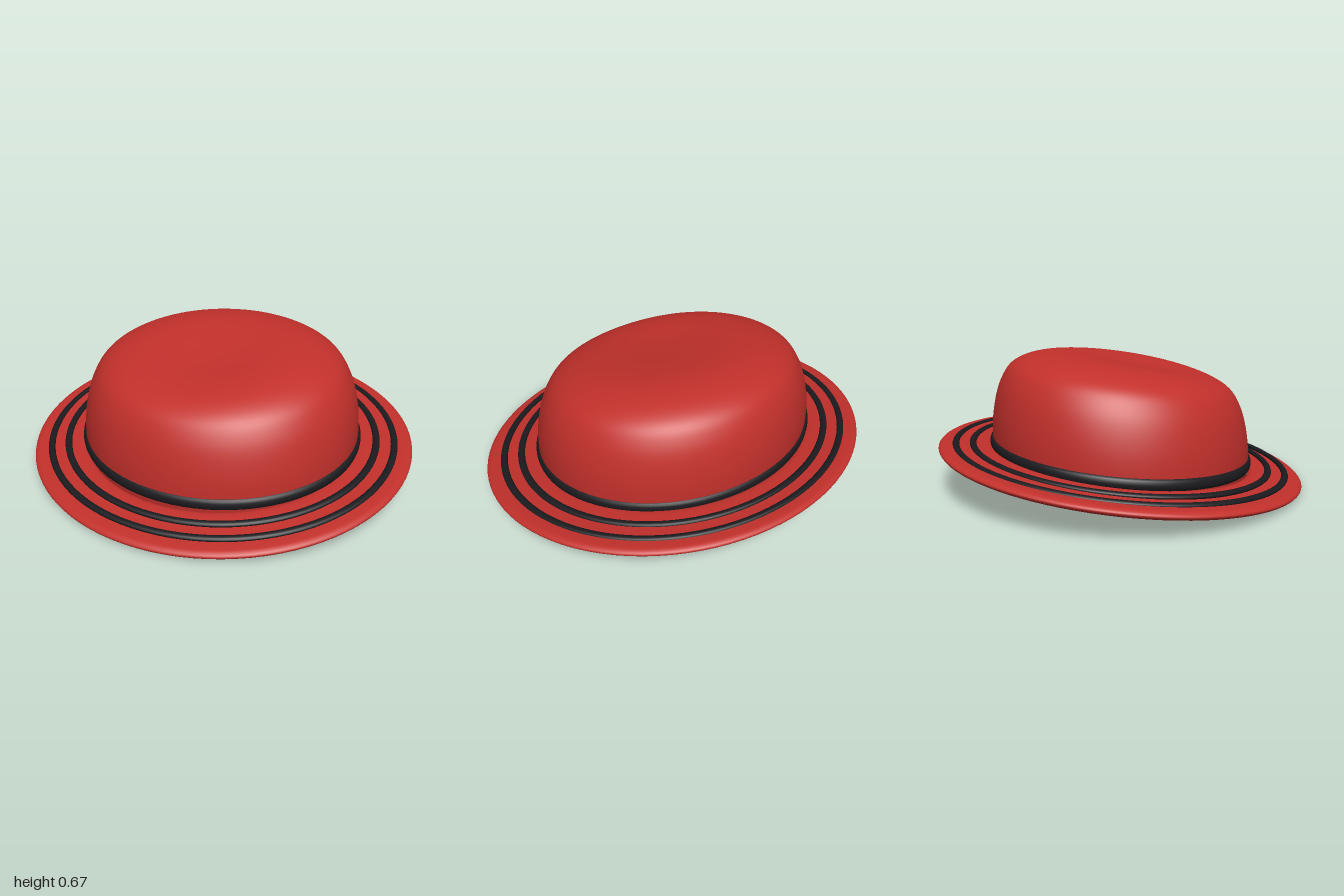
import * as THREE from 'three';
import { mergeVertices } from 'three/addons/utils/BufferGeometryUtils.js';

const red = new THREE.MeshStandardMaterial({ color: 0xc2302b, side: THREE.DoubleSide });
const black = new THREE.MeshStandardMaterial({ color: 0x1b1b1f, side: THREE.DoubleSide });

// Lathe a profile of [radius, height], squash it to an oval in z, then raise each point by lift(x, z)
function ovalLathe(name, points, squash, lift, material) {
  let geometry = new THREE.LatheGeometry(points.map(([r, y]) => new THREE.Vector2(r, y)), 96);
  geometry.deleteAttribute('uv');
  geometry.deleteAttribute('normal');
  geometry = mergeVertices(geometry, 1e-5);
  const pos = geometry.attributes.position;
  for (let i = 0; i < pos.count; i++) {
    const x = pos.getX(i);
    const z = pos.getZ(i) * squash;
    pos.setXYZ(i, x, pos.getY(i) + lift(x, z, pos.getY(i)), z);
  }
  geometry.computeVertexNormals();
  const mesh = new THREE.Mesh(geometry, material);
  mesh.name = name;
  return mesh;
}

// Closed ring with an elliptical cross-section, sloping down to the front
function ring(name, radius, y, halfWidth, halfHeight, squash, slope) {
  const points = [];
  for (let i = 0; i <= 16; i++) {
    const a = (i / 16) * Math.PI * 2;
    points.push([radius + halfWidth * Math.cos(a), y + halfHeight * Math.sin(a)]);
  }
  return ovalLathe(name, points, squash, (x, z) => -slope * z, black);
}

// Smooth a few profile points into a finer curve
function smooth(points, count) {
  const curve = new THREE.SplineCurve(points.map(([r, y]) => new THREE.Vector2(r, y)));
  return curve.getPoints(count).map((p) => [Math.max(p.x, 0), p.y]);
}

export function createModel() {
  const hat = new THREE.Group();
  hat.name = 'hat';

  // Crown: open shell, its top pressed into a broad soft dent towards the front
  const crown = smooth([
    [0.722, 0.135], [0.728, 0.2], [0.722, 0.3], [0.702, 0.4], [0.672, 0.48], [0.625, 0.55],
    [0.55, 0.597], [0.45, 0.628], [0.34, 0.645], [0.22, 0.65], [0.1, 0.651], [0, 0.651],
  ], 48);
  const crownLift = (x, z, y) => {
    const dent = 0.04 * Math.exp(-(x * x + (z - 0.2) ** 2) / 0.1);
    return -0.115 * z - dent * THREE.MathUtils.smoothstep(y, 0.4, 0.6);
  };
  hat.add(ovalLathe('crown', crown, 0.9, crownLift, red));

  // Brim: thin plate with a rounded rim, open in the middle, bowed slightly down at both ends
  const brim = smooth([
    [0.712, 0.148], [0.73, 0.132], [0.83, 0.121], [0.95, 0.114], [0.985, 0.12], [1, 0.136],
    [0.985, 0.15], [0.95, 0.155], [0.83, 0.157], [0.74, 0.162], [0.712, 0.148],
  ], 48);
  hat.add(ovalLathe('brim', brim, 0.92, (x, z) => -0.11 * z - 0.01 * z * z, red));

  // Band around the crown and two trim rings on the brim
  hat.add(ring('band', 0.725, 0.18, 0.018, 0.028, 0.9, 0.09));
  hat.add(ring('innerTrim', 0.82, 0.16, 0.018, 0.012, 0.92, 0.1));
  hat.add(ring('outerTrim', 0.91, 0.154, 0.018, 0.012, 0.92, 0.102));
  return hat;
}
